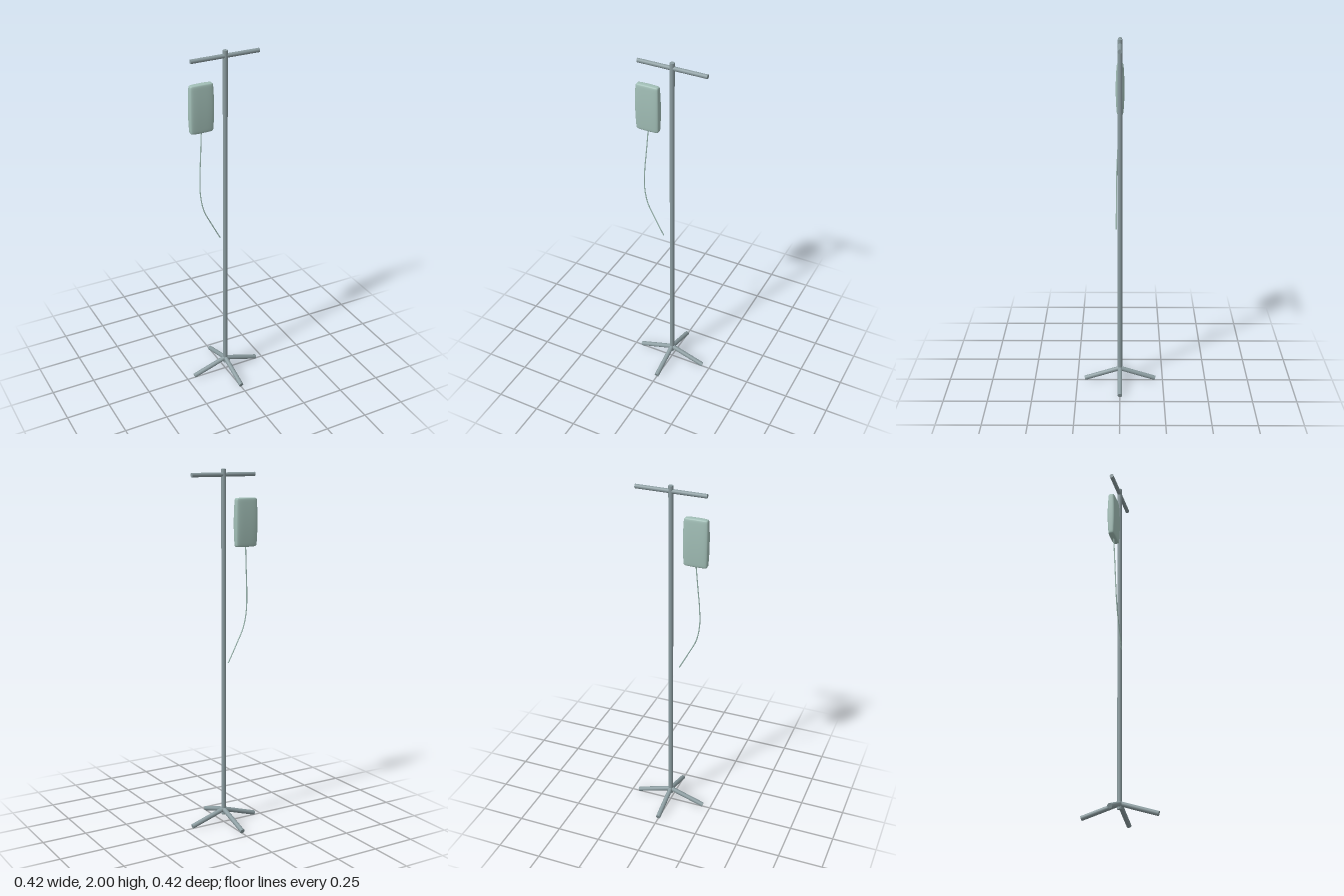
import * as THREE from 'three';
import { mergeVertices } from 'three/addons/utils/BufferGeometryUtils.js';

const metal = new THREE.MeshStandardMaterial({ color: 0x8b9ca0 });
metal.name = 'grey metal';
const plastic = new THREE.MeshStandardMaterial({ color: 0xa2bfb7 });
plastic.name = 'pale green plastic';

const V = (x, y, z) => new THREE.Vector3(x, y, z);

// Straight round bar between two points
function bar(name, a, b, radius) {
  const dir = b.clone().sub(a);
  const mesh = new THREE.Mesh(new THREE.CylinderGeometry(radius, radius, dir.length(), 20), metal);
  mesh.position.copy(a).add(b).multiplyScalar(0.5);
  mesh.quaternion.setFromUnitVectors(V(0, 1, 0), dir.normalize());
  mesh.name = name;
  return mesh;
}

// Rounded pillow: a box with softened edges that swells towards its middle
function pillow(hw, hh, hd, r) {
  let geo = new THREE.BoxGeometry(2, 2, 2, 16, 20, 8);
  geo.deleteAttribute('normal');
  geo.deleteAttribute('uv');
  geo = mergeVertices(geo);
  const pos = geo.attributes.position;
  const half = V(hw, hh, hd);
  const core = half.clone().subScalar(r);
  const p = V();
  for (let i = 0; i < pos.count; i++) {
    p.fromBufferAttribute(pos, i);
    // crowd the rows towards the edges
    for (const k of ['x', 'y', 'z']) p[k] = Math.sin(p[k] * Math.PI / 2) * half[k];
    const inner = p.clone().clamp(core.clone().negate(), core);
    p.sub(inner).setLength(r).add(inner);
    const u = p.x / hw, v = p.y / hh;
    p.x *= 1 - 0.06 * v * v;
    p.y *= 1 - 0.015 * u * u;
    p.z *= (1 - 0.25 * v * v) * (1 - 0.2 * u ** 4);
    pos.setXYZ(i, p.x, p.y, p.z);
  }
  geo.computeVertexNormals();
  return geo;
}

export function createModel() {
  const model = new THREE.Group();
  model.name = 'dripStand';

  // Pole and top crossbar
  model.add(bar('pole', V(0, 0.05, 0), V(0, 2, 0), 0.0132));
  model.add(bar('crossbar', V(-0.196, 1.97, 0), V(0.196, 1.97, 0), 0.0115));

  // Four sloping legs
  const legs = new THREE.Group();
  legs.name = 'legs';
  for (const [x, z] of [[1, 0], [0, 1], [-1, 0], [0, -1]]) {
    legs.add(bar('leg', V(0, 0.08, 0), V(x * 0.205, 0.015, z * 0.205), 0.0132));
  }
  model.add(legs);

  // Fluid bag beside the pole
  const bag = new THREE.Mesh(pillow(0.069, 0.134, 0.024, 0.011), plastic);
  bag.name = 'bag';
  bag.position.set(-0.14, 1.711, 0);
  model.add(bag);

  // Drip line hanging from the bag
  const path = new THREE.CatmullRomCurve3([
    V(-0.14, 1.59, 0), V(-0.149, 1.46, 0.007), V(-0.159, 1.32, 0.015), V(-0.159, 1.22, 0.019),
    V(-0.141, 1.125, 0.021), V(-0.095, 1.03, 0.021), V(-0.042, 0.93, 0.021),
  ]);
  const line = new THREE.Mesh(new THREE.TubeGeometry(path, 48, 0.0032, 8), plastic);
  line.name = 'dripLine';
  model.add(line);

  return model;
}
